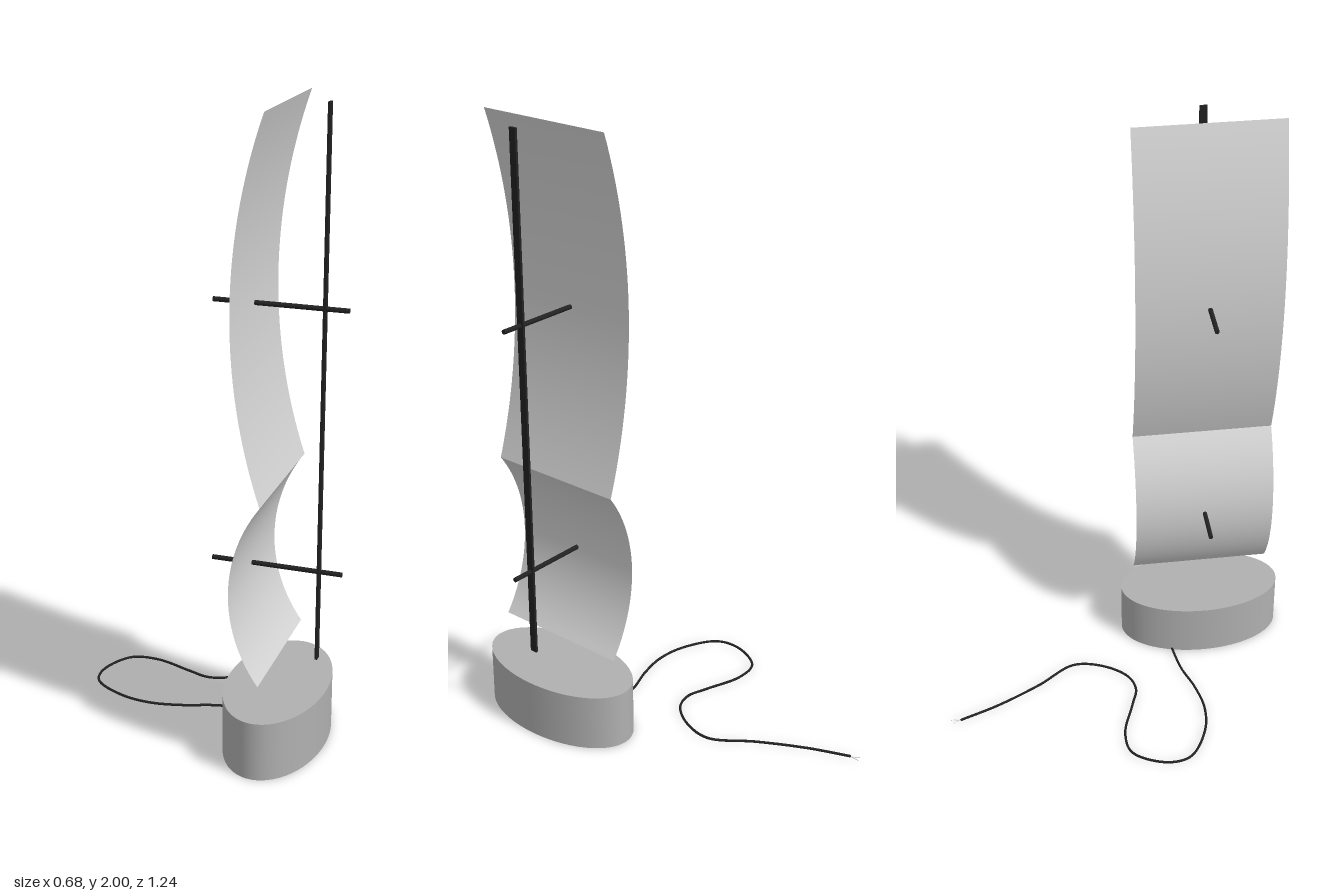
import * as THREE from 'three';

export function createModel() {
  const model = new THREE.Group();
  const mat = (name, color, side = THREE.FrontSide) => {
    const m = new THREE.MeshStandardMaterial({ color, side });
    m.name = name;
    return m;
  };
  const baseGrey = mat('base grey', 0xb0b0b0);
  const shadeGrey = mat('shade light grey', 0xd4d4d4, THREE.DoubleSide);
  const black = mat('black', 0x222222);
  const white = mat('wire white', 0xf4f4f4);

  const add = (parent, name, geometry, material, x = 0, y = 0, z = 0) => {
    const mesh = new THREE.Mesh(geometry, material);
    mesh.name = name;
    mesh.position.set(x, y, z);
    parent.add(mesh);
    return mesh;
  };

  // Lamp body: local z is the facing direction, local x runs along the shade
  const lamp = new THREE.Group();
  lamp.name = 'lamp';
  lamp.position.set(0.132, 0, 0.372);
  lamp.rotation.y = Math.atan2(0.823, 0.569);
  model.add(lamp);

  // Oval base
  const base = new THREE.CylinderGeometry(1, 1, 0.19, 64);
  base.scale(0.282, 1, 0.158);
  add(lamp, 'base', base, baseGrey, 0, 0.095, 0);

  // Two curved shade panels, each bowed backwards as a circular arc
  const sagitta = 0.094, width = 0.474;
  const panel = (name, y0, y1) => {
    const half = (y1 - y0) / 2;
    const radius = (half * half + sagitta * sagitta) / (2 * sagitta);
    const g = new THREE.PlaneGeometry(width, half * 2, 1, 32);
    const p = g.attributes.position;
    for (let i = 0; i < p.count; i++) {
      const y = p.getY(i);
      p.setZ(i, radius - sagitta - Math.sqrt(radius * radius - y * y));
    }
    g.computeVertexNormals();
    add(lamp, name, g, shadeGrey, 0, (y0 + y1) / 2, 0.004);
  };
  panel('lowerShade', 0.29, 0.865);
  panel('upperShade', 0.865, 2);

  // Flat upright strip in front of the shade
  add(lamp, 'uprightStrip', new THREE.BoxGeometry(0.024, 1.71, 0.008), black, 0, 1.145, 0.122);

  // Cross rods through the shade
  for (const y of [0.582, 1.408]) {
    const rod = new THREE.CylinderGeometry(0.0075, 0.0075, 0.412, 16);
    rod.rotateX(Math.PI / 2);
    add(lamp, 'crossRod', rod, black, 0, y, -0.012);
  }

  // Power cord lying on the floor
  const floorCurve = (pts) =>
    new THREE.CatmullRomCurve3(pts.map(([x, z]) => new THREE.Vector3(x, 0.0045, z)));
  const cord = floorCurve([
    [0.11, 0.21], [0.078, 0.193], [-0.015, 0.15], [-0.114, 0.122], [-0.21, 0.078],
    [-0.288, 0.005], [-0.341, -0.114], [-0.305, -0.19], [-0.196, -0.246],
    [-0.114, -0.206], [-0.03, -0.097], [0.018, -0.038], [0.084, -0.018],
    [0.183, -0.051], [0.256, -0.124], [0.262, -0.279], [0.282, -0.444], [0.315, -0.586],
  ]);
  add(model, 'cord', new THREE.TubeGeometry(cord, 160, 0.0042, 8), black);

  // Bare wire ends
  for (const [x, z] of [[0.319, -0.615], [0.336, -0.611]]) {
    const wire = floorCurve([[0.315, -0.584], [(x + 0.315) / 2 + 0.003, -0.6], [x, z]]);
    add(model, 'wireEnd', new THREE.TubeGeometry(wire, 8, 0.0014, 6), white);
  }

  return model;
}
